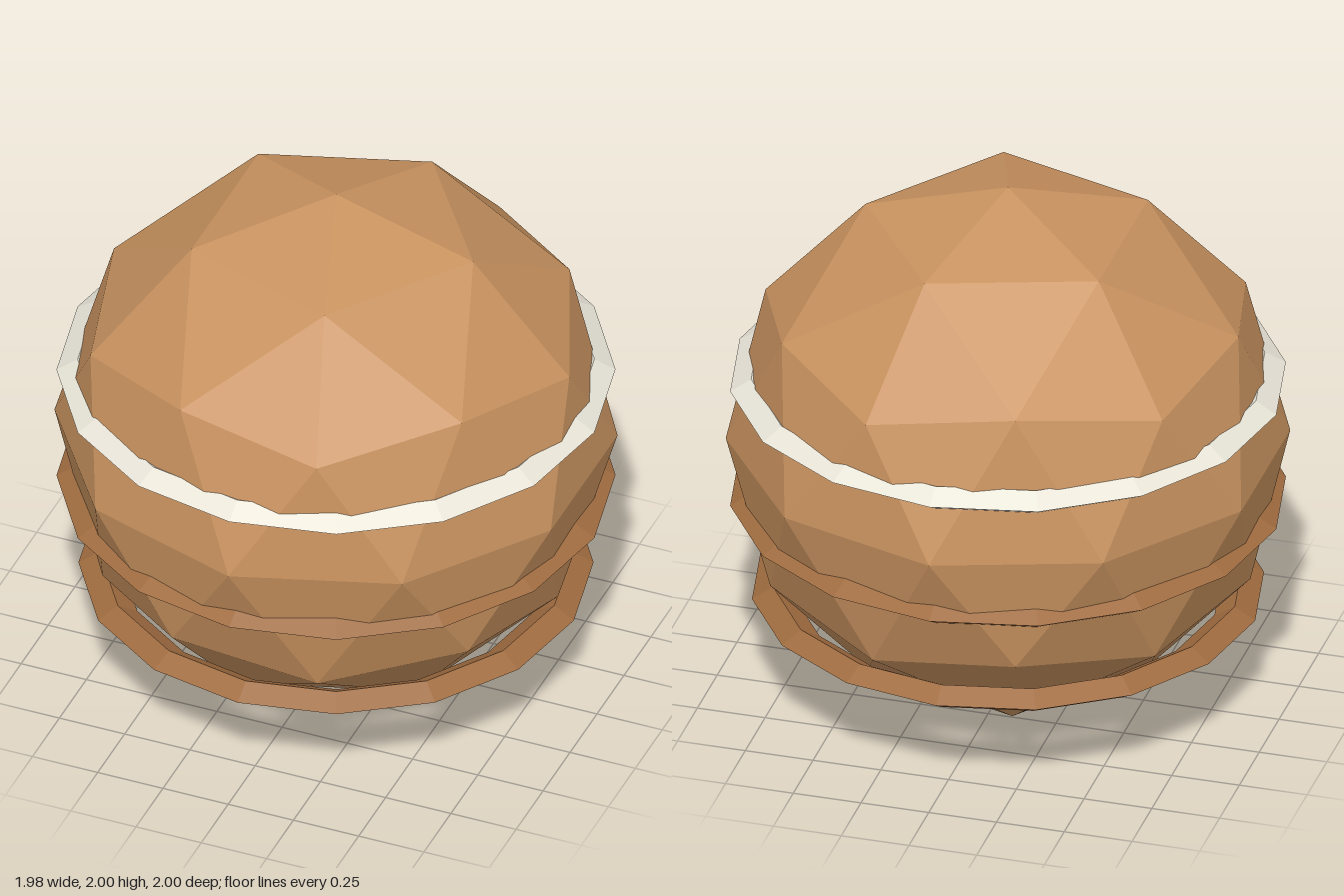
import * as THREE from 'three';

const material = (color) => new THREE.MeshStandardMaterial({ color, flatShading: true });

// Faceted band: a four-sided tube, wider than it is tall, lying flat
function makeBand(name, y, radius, mat) {
  const geometry = new THREE.TorusGeometry(radius, 0.075, 4, 16);
  geometry.rotateX(Math.PI / 2);
  geometry.scale(1, 0.6, 1);
  const band = new THREE.Mesh(geometry, mat);
  band.name = name;
  band.position.y = y;
  return band;
}

export function createModel() {
  const model = new THREE.Group();
  model.name = 'bandedBall';

  // Low-poly ball, turned so that a corner points straight up
  const ballGeometry = new THREE.IcosahedronGeometry(1, 1);
  ballGeometry.rotateZ(-Math.atan(2 / (1 + Math.sqrt(5))));
  const ball = new THREE.Mesh(ballGeometry, material(0xc8925f));
  ball.name = 'ball';
  ball.position.y = 1;
  model.add(ball);

  // Pale upper band, brown middle band and a smaller loose lower band
  const pale = material(0xe8e4d8);
  const brown = material(0xa06c40);
  model.add(
    makeBand('upperBand', 1.232, 0.915, pale),
    makeBand('middleBand', 0.769, 0.915, brown),
    makeBand('lowerBand', 0.386, 0.837, brown)
  );
  return model;
}
